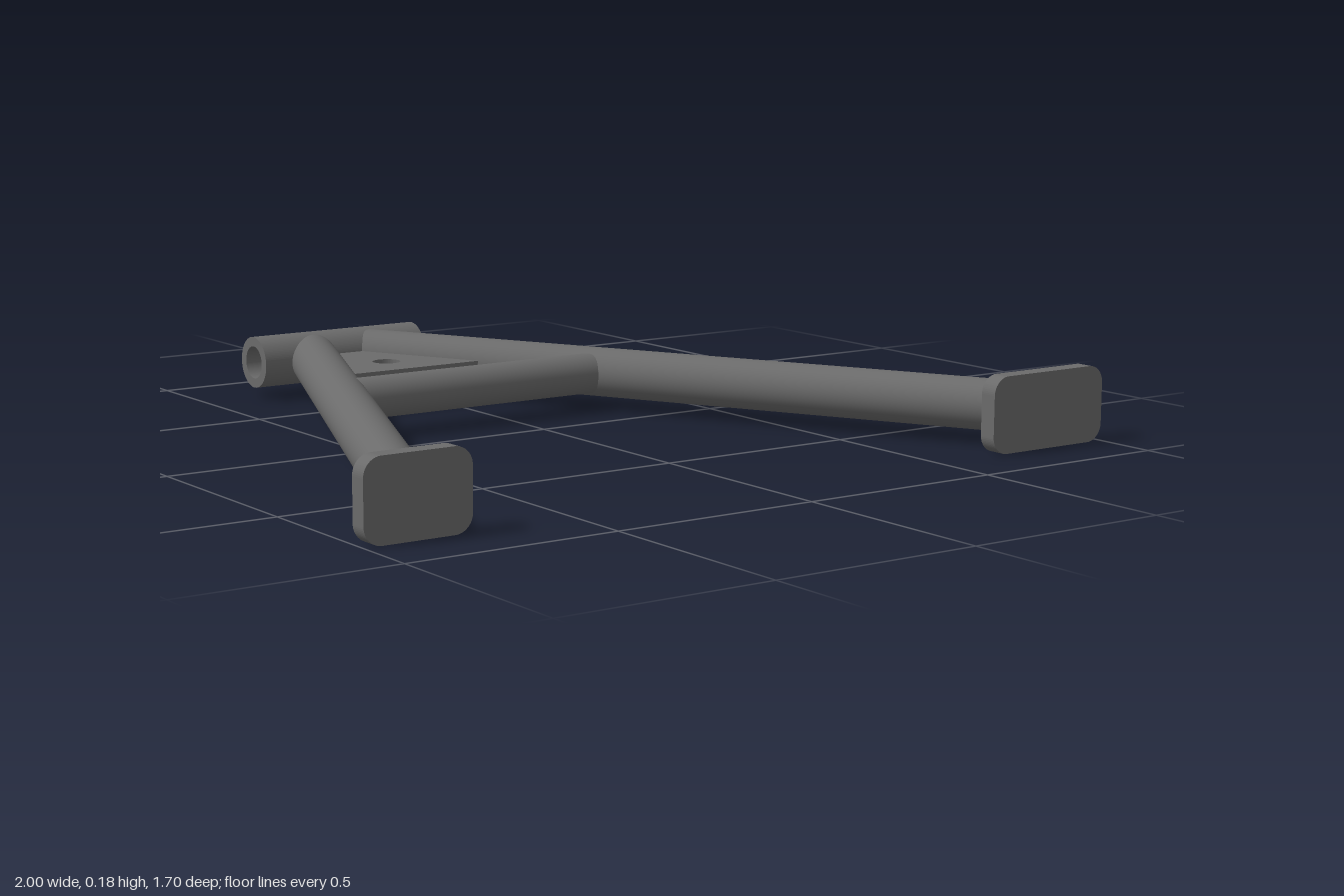
import * as THREE from 'three';

const MID = 0.09;       // height of every tube axis
const PIVOT_Z = -0.785; // axis of the pivot tube

export function createModel() {
  const group = new THREE.Group();
  const steel = new THREE.MeshStandardMaterial({ color: 0x6b6b6b });
  steel.name = 'grey steel';

  const add = (name, geometry) => {
    const mesh = new THREE.Mesh(geometry, steel);
    mesh.name = name;
    group.add(mesh);
    return mesh;
  };

  // Round bar lying at mid height between two [x, z] points
  const barGeometry = (from, to, radius) => {
    const a = new THREE.Vector3(from[0], MID, from[1]);
    const b = new THREE.Vector3(to[0], MID, to[1]);
    const dir = b.clone().sub(a);
    const length = dir.length();
    dir.normalize();
    const geo = new THREE.CylinderGeometry(radius, radius, length, 48);
    geo.applyQuaternion(new THREE.Quaternion().setFromUnitVectors(new THREE.Vector3(0, 1, 0), dir));
    geo.translate((a.x + b.x) / 2, MID, (a.z + b.z) / 2);
    return { geo, dir };
  };

  // Leg whose upper end is coped to sit inside the wall of the pivot tube
  const addLeg = (name, foot, top) => {
    const { geo, dir } = barGeometry(foot, top, 0.061);
    const pos = geo.attributes.position;
    for (let i = 0; i < pos.count; i++) {
      if (pos.getZ(i) > 0) continue;
      const dy = pos.getY(i) - MID;
      const z = PIVOT_Z + Math.sqrt(Math.max(0, 0.058 ** 2 - dy * dy));
      const t = (z - pos.getZ(i)) / dir.z;
      pos.setX(i, pos.getX(i) + dir.x * t);
      pos.setZ(i, z);
    }
    add(name, geo);
  };
  addLeg('rightLeg', [-0.87, 0.785], [-0.19, PIVOT_Z]);
  addLeg('leftLeg', [0.8, 0.783], [-0.045, PIVOT_Z]);

  // Brace between the legs
  add('crossBar', barGeometry([-0.45, -0.17], [0.28, -0.17], 0.05).geo);

  // Hollow pivot tube
  const ring = new THREE.Shape().absarc(0, 0, 0.065, 0, Math.PI * 2);
  ring.holes.push(new THREE.Path().absarc(0, 0, 0.041, 0, Math.PI * 2, true));
  const tubeGeo = new THREE.ExtrudeGeometry(ring, { depth: 0.47, bevelEnabled: false, curveSegments: 48 });
  tubeGeo.rotateY(Math.PI / 2);
  add('pivotTube', tubeGeo).position.set(-0.36, MID, PIVOT_Z);

  // Gusset plate with a bolt hole, drawn as (x, -z) and laid flat
  const plate = new THREE.Shape([[-0.335, 0.42], [0.135, 0.42], [-0.03, 0.73], [-0.2, 0.73]]
    .map(([x, y]) => new THREE.Vector2(x, y)));
  plate.holes.push(new THREE.Path().absarc(-0.112, 0.543, 0.035, 0, Math.PI * 2, true));
  const plateGeo = new THREE.ExtrudeGeometry(plate, { depth: 0.025, bevelEnabled: false, curveSegments: 24 });
  plateGeo.rotateX(-Math.PI / 2);
  add('gussetPlate', plateGeo).position.y = MID - 0.0125;

  // Foot pads with rounded corners
  const addPad = (name, x0, x1) => {
    const r = 0.042, h = 0.18;
    const s = new THREE.Shape();
    s.absarc(x1 - r, r, r, -Math.PI / 2, 0);
    s.absarc(x1 - r, h - r, r, 0, Math.PI / 2);
    s.absarc(x0 + r, h - r, r, Math.PI / 2, Math.PI);
    s.absarc(x0 + r, r, r, Math.PI, Math.PI * 1.5);
    add(name, new THREE.ExtrudeGeometry(s, { depth: 0.042, bevelEnabled: false, curveSegments: 8 }))
      .position.z = 0.806;
  };
  addPad('rightFootPad', -1, -0.747);
  addPad('leftFootPad', 0.66, 1);

  return group;
}
